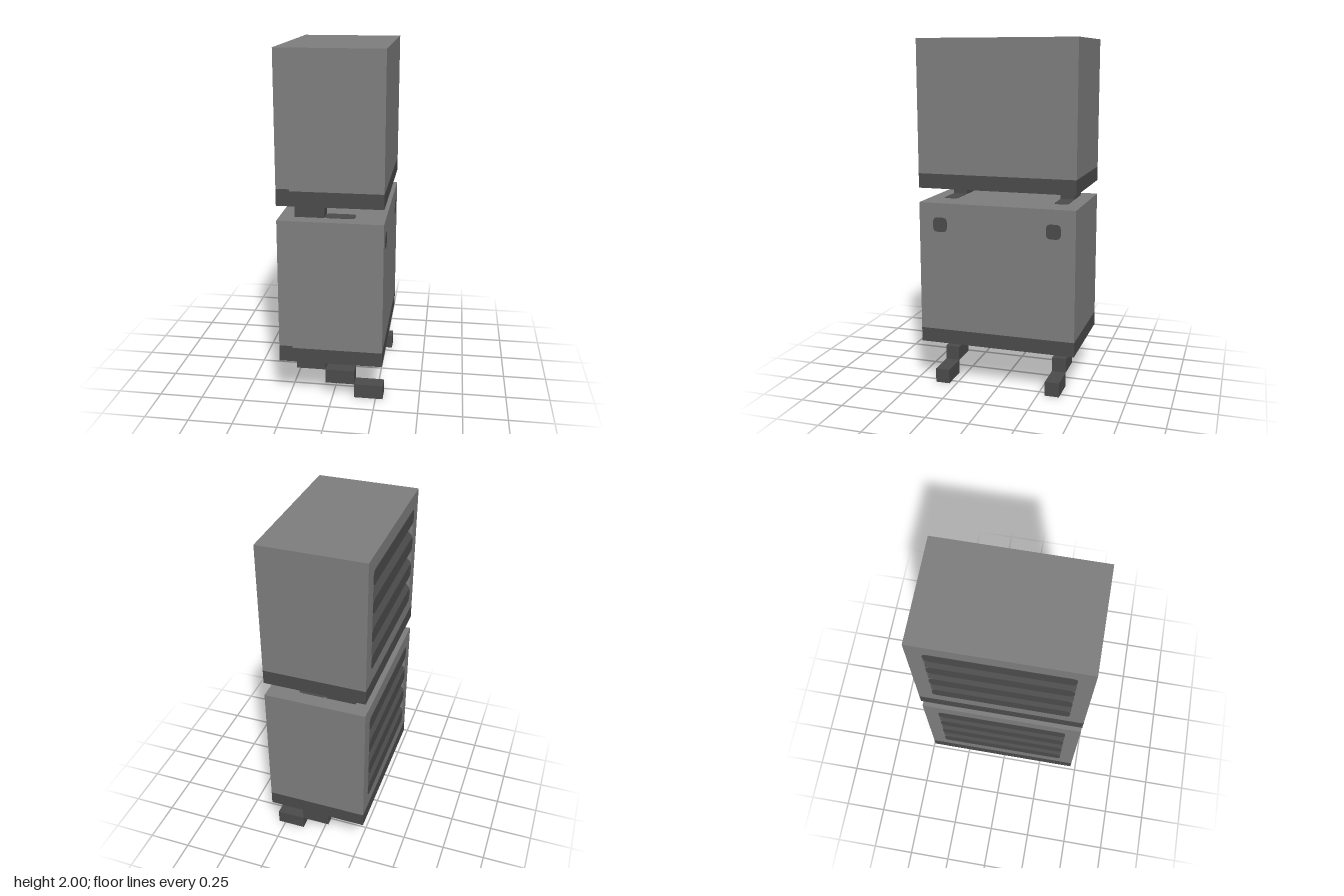
import * as THREE from 'three';

const U = 1 / 12; // block size: 7 wide, 24 high, 11 deep
const casing = new THREE.MeshStandardMaterial({ color: 0x7e7e7e });
casing.name = 'casing grey';
const trim = new THREE.MeshStandardMaterial({ color: 0x4b4b4b });
trim.name = 'dark trim';

function add(parent, name, geometry, material) {
  const mesh = new THREE.Mesh(geometry, material);
  mesh.name = name;
  parent.add(mesh);
  return mesh;
}

// Box given by its limits in blocks
function box(parent, name, material, x0, x1, y0, y1, z0, z1) {
  const mesh = add(parent, name, new THREE.BoxGeometry((x1 - x0) * U, (y1 - y0) * U, (z1 - z0) * U), material);
  mesh.position.set((x0 + x1) / 2 * U, (y0 + y1) / 2 * U, (z0 + z1) / 2 * U);
  return mesh;
}

// Thin round-cornered plate, centred, facing +z
function plate(parent, name, w, h) {
  const a = w / 2 * U, b = h / 2 * U, r = 0.3 * U;
  const s = new THREE.Shape();
  s.moveTo(-a + r, -b);
  s.lineTo(a - r, -b).quadraticCurveTo(a, -b, a, -b + r);
  s.lineTo(a, b - r).quadraticCurveTo(a, b, a - r, b);
  s.lineTo(-a + r, b).quadraticCurveTo(-a, b, -a, b - r);
  s.lineTo(-a, -b + r).quadraticCurveTo(-a, -b, -a + r, -b);
  const g = new THREE.ExtrudeGeometry(s, { depth: 0.002, bevelEnabled: false, curveSegments: 3 });
  return add(parent, name, g, trim);
}

function rect(Type, x0, x1, y0, y1) {
  return new Type([[x0, y0], [x1, y0], [x1, y1], [x0, y1]].map(([x, y]) => new THREE.Vector2(x * U, y * U)));
}

// One cabinet with a louvred side
function cabinet(name) {
  const g = new THREE.Group();
  g.name = name;
  box(g, 'baseBand', trim, -3.5, 3.5, 0, 1, -5.5, 5.5);
  box(g, 'body', casing, -2.5, 3.5, 1, 10, -5.5, 5.5);
  const notch = box(g, 'baseCornerTrim', trim, -3.5, -2.6, 0.9, 1.13, 5.49, 5.515);
  notch.renderOrder = 0;

  // Frame around the louvres
  const s = rect(THREE.Shape, -5.5, 5.5, 1, 10);
  s.holes.push(rect(THREE.Path, -4.5, 4.5, 2, 9));
  const frame = add(g, 'louvreFrame', new THREE.ExtrudeGeometry(s, { depth: U, bevelEnabled: false }), casing);
  frame.rotation.y = -Math.PI / 2;
  frame.position.x = -2.5 * U;

  // Upright slats with sloping ramps between them
  for (let y = 2; y < 9; y += 2) {
    box(g, 'slat', casing, -3.5, -2.5, y, y + 1, -4.5, 4.5);
    const face = plate(g, 'slatFace', 9, 1);
    face.rotation.y = -Math.PI / 2;
    face.position.set(-3.5 * U, (y + 0.5) * U, 0);
    if (y === 8) continue;
    const tri = new THREE.Shape([[-3.5, y + 1], [-2.5, y + 1], [-2.5, y + 2]].map(([a, b]) => new THREE.Vector2(a * U, b * U)));
    const ramp = add(g, 'slatRamp', new THREE.ExtrudeGeometry(tri, { depth: 9 * U, bevelEnabled: false }), trim);
    ramp.position.z = -4.5 * U;
  }
  return g;
}

export function createModel() {
  const model = new THREE.Group();
  model.name = 'stackedCabinets';

  const lower = cabinet('lowerCabinet');
  lower.position.y = 3 * U;
  const upper = cabinet('upperCabinet');
  upper.position.y = 14 * U;
  model.add(lower, upper);

  for (const z of [-4, 4]) {
    // Stepped bracket under the lower cabinet
    for (let i = 0; i < 3; i++) {
      const x = -2.5 + 2 * i;
      box(model, 'bracketStep', trim, x, x + 2, 2 - i, 3 - i, z - 0.5, z + 0.5);
    }
    // Upper bracket, which sinks into the lower cabinet and shows on its top and side
    box(model, 'upperBracket', trim, -2.5, -0.5, 13, 14, z - 0.5, z + 0.5);
    const top = plate(model, 'bracketTopPatch', 2, 1);
    top.rotation.x = -Math.PI / 2;
    top.position.set(0.5 * U, 13 * U, z * U);
    const end = plate(model, 'bracketEndPatch', 1, 1);
    end.rotation.y = Math.PI / 2;
    end.position.set(3.5 * U, 11.5 * U, z * U);
  }
  return model;
}
